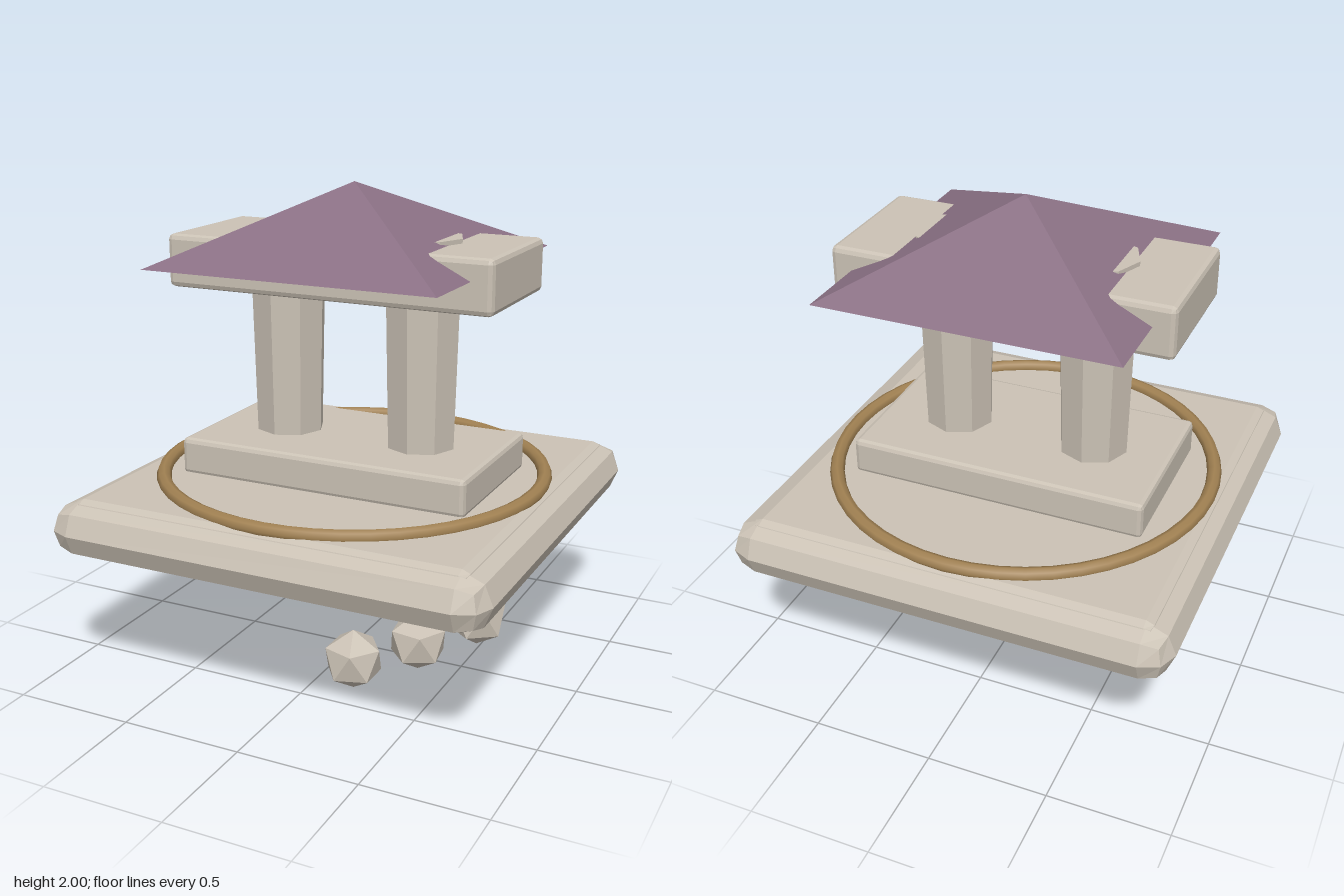
import * as THREE from 'three';
import { RoundedBoxGeometry } from 'three/addons/geometries/RoundedBoxGeometry.js';

export function createModel() {
  const model = new THREE.Group();
  model.name = 'floatingShrine';

  const paint = (name, color) => {
    const m = new THREE.MeshStandardMaterial({ color });
    m.name = name;
    return m;
  };
  const stone = paint('stone', 0xcbc2b5);
  const roofPurple = paint('roofPurple', 0x8a7084);
  const bronze = paint('bronze', 0xa18152);

  // Gives every face its own flat normal
  const faceted = (geometry) => {
    const g = geometry.index ? geometry.toNonIndexed() : geometry;
    g.computeVertexNormals();
    return g;
  };
  const add = (name, geometry, material, x, y, z) => {
    const mesh = new THREE.Mesh(geometry, material);
    mesh.name = name;
    mesh.position.set(x, y, z);
    model.add(mesh);
    return mesh;
  };
  // Bevelled block standing between two heights
  const block = (name, halfX, y0, y1, halfZ, bevel) =>
    add(name, faceted(new RoundedBoxGeometry(halfX * 2, y1 - y0, halfZ * 2, 1, bevel)),
      stone, 0, (y0 + y1) / 2, 0);

  // Floating platform with a thin upper step
  block('platform', 0.916, 0.575, 0.803, 0.916, 0.114);
  block('platformStep', 0.84, 0.7, 0.809, 0.84, 0.045);

  // Inlaid ring
  const ring = add('ring', new THREE.TorusGeometry(0.79, 0.03, 8, 48), bronze, 0, 0.815, 0);
  ring.rotation.x = Math.PI / 2;

  // Plinth and lintel
  block('plinth', 0.625, 0.8, 0.955, 0.345, 0.02);
  block('lintel', 0.695, 1.572, 1.787, 0.29, 0.022);

  // Tapered eight-sided columns, poking just through the lintel
  for (const side of [-1, 1]) {
    add(side > 0 ? 'leftColumn' : 'rightColumn',
      faceted(new THREE.CylinderGeometry(0.161, 0.14, 0.955, 8)), stone, side * 0.3, 1.3275, 0);
  }

  // Pyramid roof
  const roof = add('roof', faceted(new THREE.ConeGeometry(0.607 * Math.SQRT2, 0.3, 4)),
    roofPurple, 0, 1.85, 0);
  roof.rotation.y = Math.PI / 4;

  // Loose rocks hovering below the platform
  const rocks = [
    [0.17, 0.13, 0.36, 0],
    [0.355, 0.15, 0.13, 0.15],
    [0.56, 0.245, -0.01, 0.3],
  ];
  rocks.forEach(([x, y, z, turn], i) => {
    const rock = add('rock' + (i + 1), new THREE.IcosahedronGeometry(0.128, 0), stone, x, y, z);
    rock.rotation.set(0, turn, -0.5536);
  });

  return model;
}
